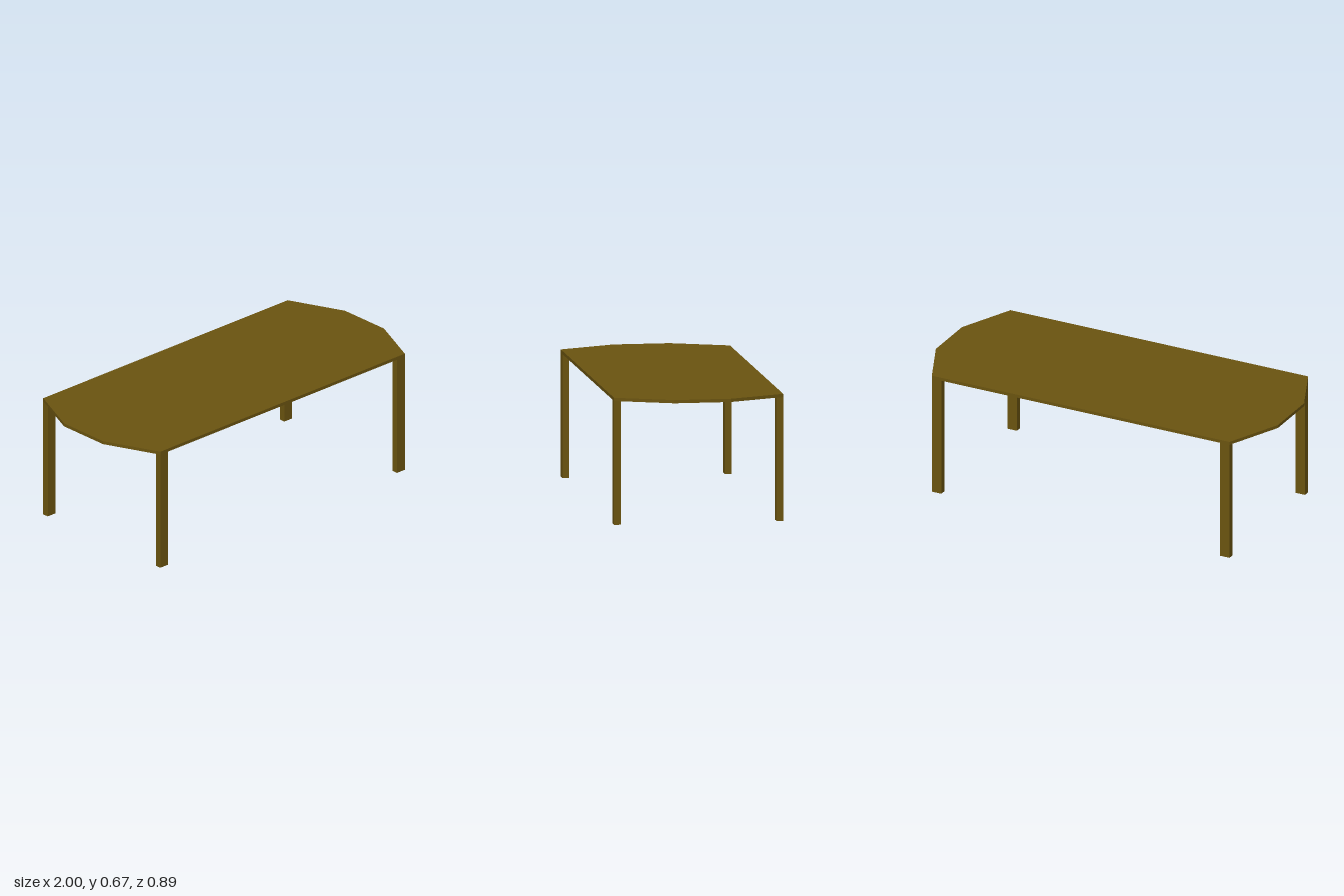
import * as THREE from 'three';

export function createModel() {
  const table = new THREE.Group();
  table.name = 'table';
  const wood = new THREE.MeshStandardMaterial({ color: 0x6b5410, flatShading: true });

  const height = 0.667, underside = 0.65;
  const cornerX = 0.87, halfDepth = 0.445, endHalf = 0.148;

  // Eight-sided top with clipped corners
  const outline = new THREE.Shape([
    [1, -endHalf], [1, endHalf], [cornerX, halfDepth], [-cornerX, halfDepth],
    [-1, endHalf], [-1, -endHalf], [-cornerX, -halfDepth], [cornerX, -halfDepth],
  ].map(([x, y]) => new THREE.Vector2(x, y)));
  const topGeometry = new THREE.ExtrudeGeometry(outline, { depth: height - underside, bevelEnabled: false });
  topGeometry.rotateX(-Math.PI / 2);
  const top = new THREE.Mesh(topGeometry, wood);
  top.name = 'tableTop';
  top.position.y = underside;
  table.add(top);

  // Four rectangular legs, flush with the long edges
  const legWidth = 0.056, legDepth = 0.035;
  const legGeometry = new THREE.BoxGeometry(legWidth, underside, legDepth);
  for (const sx of [-1, 1]) {
    for (const sz of [-1, 1]) {
      const leg = new THREE.Mesh(legGeometry, wood);
      leg.name = (sz > 0 ? 'front' : 'back') + (sx > 0 ? 'Left' : 'Right') + 'Leg';
      leg.position.set(sx * (cornerX - legWidth / 2), underside / 2, sz * (halfDepth - legDepth / 2));
      table.add(leg);
    }
  }
  return table;
}
